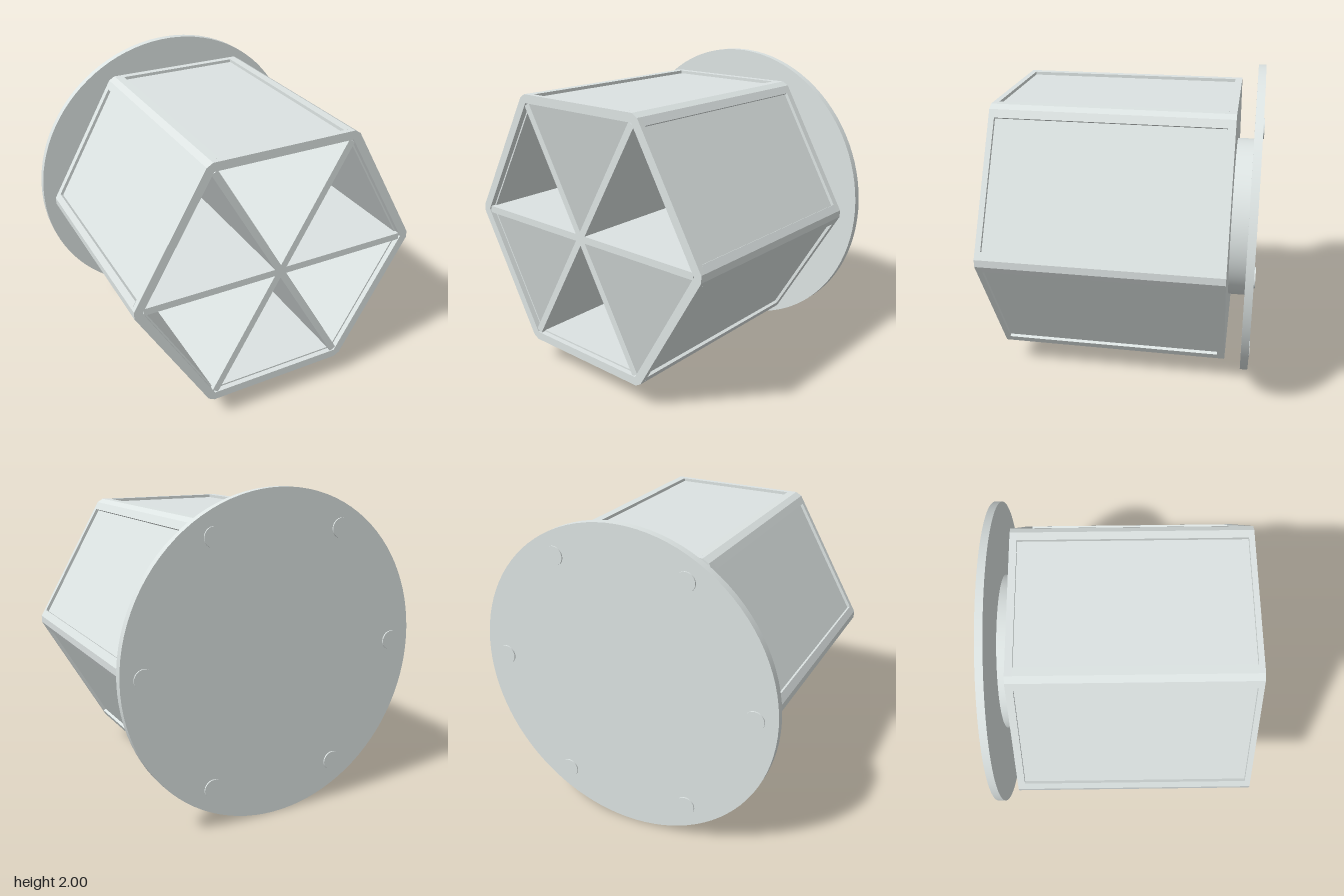
import * as THREE from 'three';

const OUTER = 0.83, INNER = 0.775;      // apothems of the frame
const CORNER = OUTER / Math.cos(Math.PI / 6);
const FRONT = 0.815, BACK = -0.655, FLOOR = -0.61, RIM = 0.78;

export function createModel() {
  const root = new THREE.Group();
  const model = new THREE.Group();
  model.name = 'hexagonalHousing';
  model.position.y = 1;
  root.add(model);

  const grey = new THREE.MeshStandardMaterial({ color: 0xdce3e2 });
  grey.name = 'pale grey';

  const add = (name, geometry, x = 0, y = 0, z = 0) => {
    const mesh = new THREE.Mesh(geometry, grey);
    mesh.name = name;
    mesh.position.set(x, y, z);
    model.add(mesh);
    return mesh;
  };
  const extrude = (shape, z0, z1) =>
    new THREE.ExtrudeGeometry(shape, { depth: z1 - z0, bevelEnabled: false }).translate(0, 0, z0);
  const disc = (name, radius, z0, z1, x = 0, y = 0, sides = 96) =>
    add(name, new THREE.CylinderGeometry(radius, radius, z1 - z0, sides).rotateX(Math.PI / 2), x, y, (z0 + z1) / 2);

  // hexagon outline with narrow flats on its corners
  const outline = () => {
    const points = [];
    for (let i = 0; i < 6; i++) {
      for (const s of [-1, 1]) {
        points.push(new THREE.Vector2(0.945, s * 0.0225).rotateAround(new THREE.Vector2(), i * Math.PI / 3));
      }
    }
    return new THREE.Shape(points);
  };

  // front rim and rear plate of the housing
  const rimShape = outline();
  const hole = [];
  for (let i = 0; i < 6; i++) {
    const r = INNER / Math.cos(Math.PI / 6), a = -i * Math.PI / 3;
    hole.push(new THREE.Vector2(r * Math.cos(a), r * Math.sin(a)));
  }
  rimShape.holes.push(new THREE.Path(hole));
  add('frontRim', extrude(rimShape, RIM, FRONT));
  add('rearPlate', extrude(outline(), BACK, FLOOR));

  // section of a corner post, pointing along +x
  const postShape = new THREE.Shape([
    [0.871, -0.04], [CORNER - 0.039, -0.0675], [0.945, -0.0225],
    [0.945, 0.0225], [CORNER - 0.039, 0.0675], [0.871, 0.04], [0.895, 0],
  ].map(([x, y]) => new THREE.Vector2(x, y)));
  const postGeometry = extrude(postShape, FLOOR, RIM);
  const panelGeometry = new THREE.BoxGeometry(0.045, 0.882, RIM - FLOOR)
    .translate(0.7875, 0, (RIM + FLOOR) / 2);

  for (let i = 0; i < 6; i++) {
    const a = i * Math.PI / 3;
    add('cornerPost', postGeometry).rotation.z = a;
    // recessed wall panel between two posts
    add('sidePanel', panelGeometry).rotation.z = a + Math.PI / 6;
    // round pad on the back of the base
    disc('basePad', 0.06, -0.815, -0.795, 0.86 * Math.cos(a), 0.86 * Math.sin(a), 32);
  }

  // three crossing walls make six compartments
  const dividerGeometry = new THREE.BoxGeometry(1.77, 0.045, 0.81 - FLOOR)
    .translate(0, 0, (0.81 + FLOOR) / 2);
  for (let i = 0; i < 3; i++) {
    add('divider', dividerGeometry).rotation.z = i * Math.PI / 3;
  }

  // neck and round base
  disc('neck', 0.52, -0.765, BACK);
  disc('roundBase', 1, -0.807, -0.76);

  return root;
}
